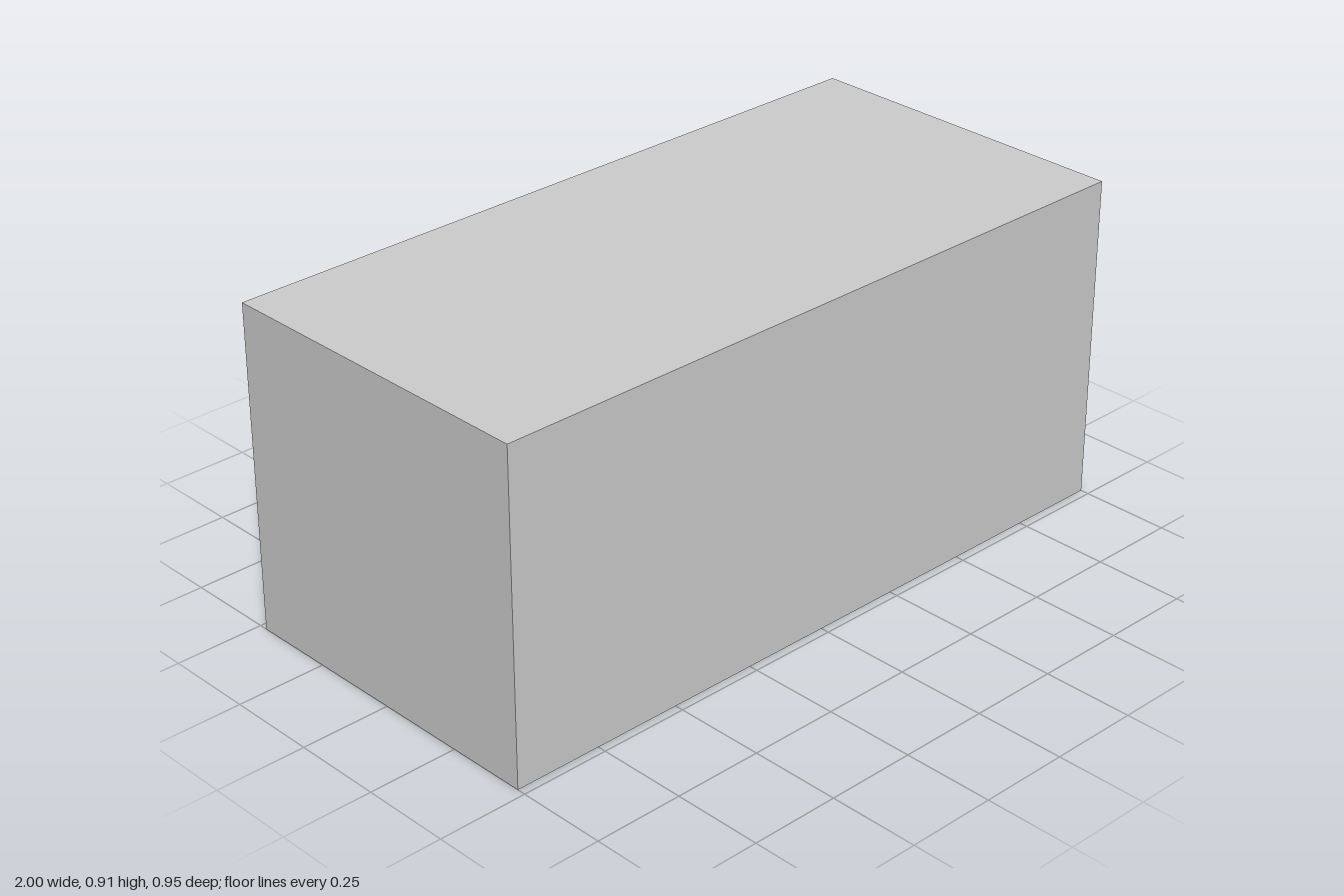
import * as THREE from 'three';

const W = 2, H = 0.907, D = 0.953, T = 0.045; // overall size, thickness of the back wall

export function createModel() {
  const group = new THREE.Group();
  const mat = new THREE.MeshStandardMaterial({ color: 0xcccccc, flatShading: true, side: THREE.DoubleSide });
  const smooth = new THREE.MeshStandardMaterial({ color: 0xcccccc });

  const add = (name, geometry, material, x, y, z) => {
    const mesh = new THREE.Mesh(geometry, material);
    mesh.name = name;
    mesh.position.set(x, y, z);
    group.add(mesh);
    return mesh;
  };

  // Thin room surfaces, left open at the +x end
  const inner = D - T, zMid = T / 2;
  add('floor', new THREE.PlaneGeometry(W, inner), mat, 0, 0, zMid).rotation.x = -Math.PI / 2;
  add('ceiling', new THREE.PlaneGeometry(W, inner), mat, 0, H, zMid).rotation.x = -Math.PI / 2;
  add('frontWall', new THREE.PlaneGeometry(W, H), mat, 0, H / 2, D / 2);
  add('endWall', new THREE.PlaneGeometry(inner, H), mat, -W / 2, H / 2, zMid).rotation.y = -Math.PI / 2;

  // Thick back wall with a square window
  const wall = new THREE.Shape([[-1, 0], [1, 0], [1, H], [-1, H]].map(p => new THREE.Vector2(...p)));
  const [x0, x1, y0, y1] = [-0.7, -0.395, 0.302, 0.605];
  wall.holes.push(new THREE.Path([[x0, y0], [x0, y1], [x1, y1], [x1, y0]].map(p => new THREE.Vector2(...p))));
  add('windowWall', new THREE.ExtrudeGeometry(wall, { depth: T, bevelEnabled: false }), mat, 0, 0, -D / 2);

  // Ball resting on the floor
  add('ball', new THREE.SphereGeometry(0.15, 48, 32), smooth, -0.55, 0.153, 0.266);

  return group;
}
